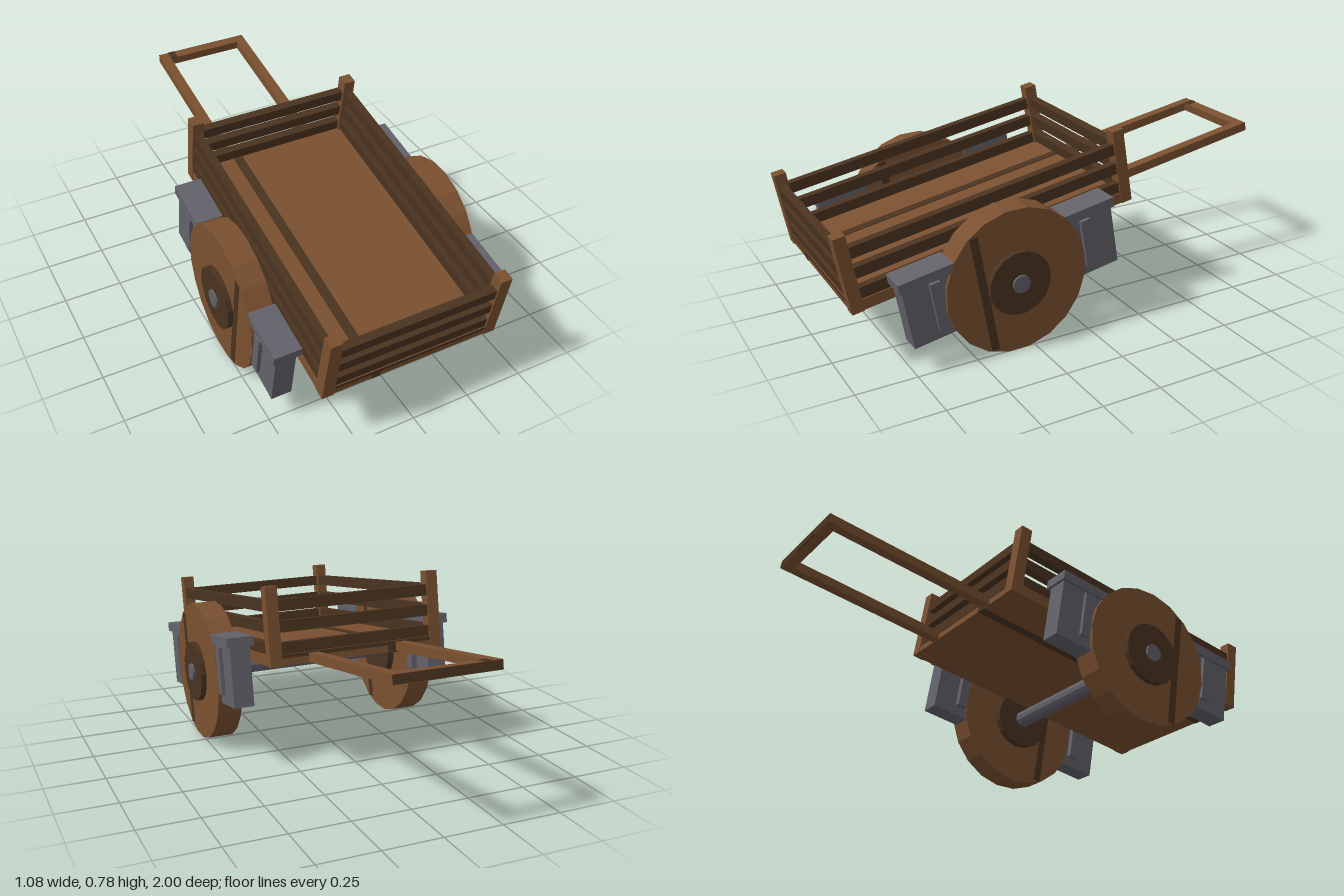
import * as THREE from 'three';

const mat = (name, color) => {
  const m = new THREE.MeshStandardMaterial({ color });
  m.name = name;
  return m;
};

export function createModel() {
  const wood = mat('brown wood', 0x7a5030);
  const darkWood = mat('dark wood', 0x4a3320);
  const iron = mat('grey iron', 0x63626a);
  wood.flatShading = darkWood.flatShading = iron.flatShading = true;

  const model = new THREE.Group();
  model.name = 'handcart';

  // Everything tilts about the axle, handle end raised
  const cart = new THREE.Group();
  cart.name = 'tiltedCart';
  cart.position.set(0, 0.301, 0.325);
  cart.rotation.x = THREE.MathUtils.degToRad(10);
  model.add(cart);

  // Box given by its [min, max] range on each axis
  const box = (name, material, [x0, x1], [y0, y1], [z0, z1]) => {
    const mesh = new THREE.Mesh(new THREE.BoxGeometry(x1 - x0, y1 - y0, z1 - z0), material);
    mesh.position.set((x0 + x1) / 2, (y0 + y1) / 2, (z0 + z1) / 2);
    mesh.name = name;
    cart.add(mesh);
    return mesh;
  };
  const span = (side, a, b) => (side > 0 ? [a, b] : [-b, -a]);

  // Cylinder lying along x
  const disc = (name, material, radius, sides, [x0, x1]) => {
    const geo = new THREE.CylinderGeometry(radius, radius, x1 - x0, sides).rotateZ(Math.PI / 2);
    const mesh = new THREE.Mesh(geo, material);
    mesh.position.x = (x0 + x1) / 2;
    mesh.name = name;
    cart.add(mesh);
  };

  // Bed with dark grain streaks and worn upper edges
  box('bed', wood, [-0.378, 0.378], [0.068, 0.113], [-0.617, 0.617]);
  box('floorStreak', darkWood, [-0.182, -0.142], [0.112, 0.116], [-0.58, 0.58]);
  box('undersideStreak', darkWood, [-0.182, -0.142], [0.065, 0.069], [-0.617, 0.617]);
  for (const s of [-1, 1]) {
    box('endStreak', darkWood, [-0.17, -0.135], [0.068, 0.113], span(s, 0.615, 0.619));
    box('wornEdge', darkWood, [-0.33, 0.33], [0.097, 0.113], span(s, 0.615, 0.619));
  }

  // Corner posts
  for (const sx of [-1, 1])
    for (const sz of [-1, 1])
      box('cornerPost', wood, span(sx, 0.33, 0.38), [0.066, 0.385], span(sz, 0.57, 0.62));

  // Three rails on every side
  for (const y of [0.137, 0.223, 0.307]) {
    const h = [y - 0.023, y + 0.023];
    for (const s of [-1, 1]) {
      box('sideRail', darkWood, span(s, 0.34, 0.374), h, [-0.575, 0.575]);
      box('endRail', darkWood, [-0.335, 0.335], h, span(s, 0.58, 0.614));
    }
  }

  // Pull handle
  for (const s of [-1, 1])
    box('handleArm', wood, span(s, 0.173, 0.216), [0.07, 0.108], [-1.356, -0.6]);
  box('handleGrip', wood, [-0.173, 0.173], [0.07, 0.108], [-1.356, -1.313]);
  box('handleEndStreak', darkWood, [-0.216, 0.216], [0.072, 0.106], [-1.358, -1.354]);
  box('handleTopStreak', darkWood, [-0.173, -0.14], [0.106, 0.11], [-1.356, -1.313]);

  // Axle, wheels, hubs
  disc('axle', iron, 0.037, 12, [-0.538, 0.538]);
  for (const s of [-1, 1]) {
    disc('wheel', wood, 0.301, 20, span(s, 0.4, 0.505));
    disc('hub', darkWood, 0.132, 16, span(s, 0.37, 0.528));
    // Grain streak on both wheel faces
    for (const x of [0.4, 0.505])
      box('wheelStreak', darkWood, span(s, x - 0.002, x + 0.002), [-0.252, 0.25], [0.128, 0.162]);

    // Iron wheel guards ahead of and behind each wheel
    for (const z of [-1, 1]) {
      box('guardBody', iron, span(s, 0.405, 0.49), [-0.106, 0.15], span(z, 0.26, 0.453));
      box('guardCap', iron, span(s, 0.39, 0.504), [0.143, 0.183], span(z, 0.24, 0.464));
      box('guardRib', iron, span(s, 0.38, 0.506), [-0.063, 0.135], span(z, 0.305, 0.347));
    }
  }

  return model;
}
